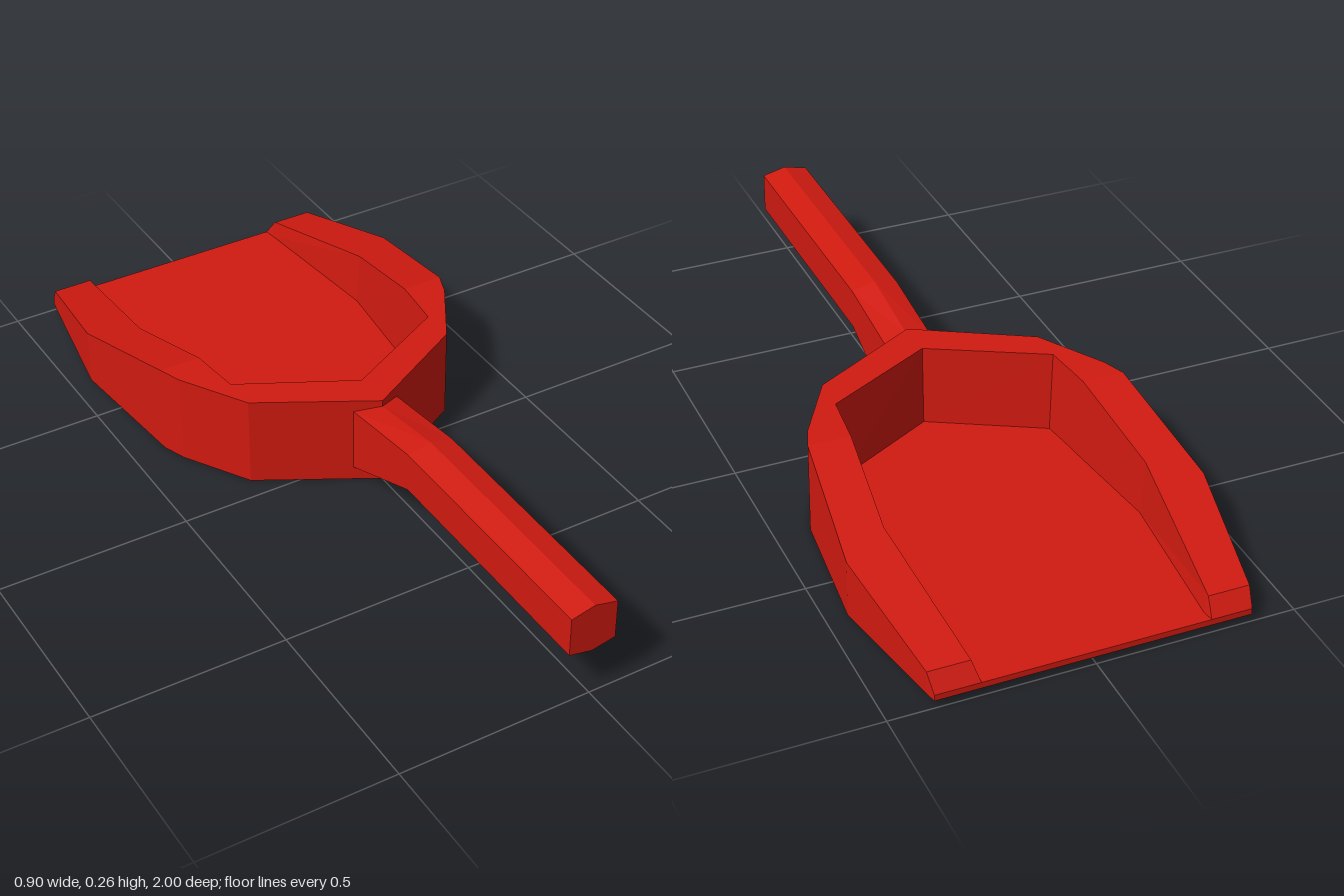
import * as THREE from 'three';

// Skin a list of equal-length rings (counter-clockwise seen from +z, running towards -z) and cap both ends.
function loft(rings) {
  const pos = [];
  const tri = (a, b, c) => pos.push(...a, ...b, ...c);
  const n = rings[0].length;
  for (let i = 0; i < rings.length - 1; i++) {
    const r = rings[i], s = rings[i + 1];
    for (let j = 0; j < n; j++) {
      const k = (j + 1) % n;
      tri(r[j], s[j], s[k]);
      tri(r[j], s[k], r[k]);
    }
  }
  const first = rings[0], last = rings[rings.length - 1];
  for (let j = 1; j < n - 1; j++) {
    tri(first[0], first[j], first[j + 1]);
    tri(last[0], last[j + 1], last[j]);
  }
  const geo = new THREE.BufferGeometry();
  geo.setAttribute('position', new THREE.Float32BufferAttribute(pos, 3));
  geo.computeVertexNormals();
  return geo;
}

// Heights as functions of z
const mix = (a, b, t) => a + (b - a) * t;
const along = (z, z0, z1) => THREE.MathUtils.clamp((z - z0) / (z1 - z0), 0, 1);
const rimY = z => z < -0.97 ? mix(0.08, 0.036, along(z, -0.97, -1)) : mix(0.242, 0.08, along(z, -0.29, -0.97));
const baseY = z => mix(0, 0.02, along(z, -0.29, -1));
const floorY = z => mix(0.03, 0.036, along(z, -0.29, -1));

export function createModel() {
  const group = new THREE.Group();
  const red = new THREE.MeshStandardMaterial({ color: 0xd01a10, flatShading: true });
  const add = (name, geo) => {
    const mesh = new THREE.Mesh(geo, red);
    mesh.name = name;
    group.add(mesh);
  };

  // Pan: outer x, outer z, inner x, inner z for half the outline, front point to open back edge
  const outline = [
    [0, 0.1, 0, 0],
    [0.287, -0.06, 0.287, -0.15],
    [0.388, -0.23, 0.296, -0.23],
    [0.41, -0.29, 0.302, -0.29],
    [0.45, -0.64, 0.332, -0.57],
    [0.395, -0.97, 0.29, -0.97],
    [0.389, -1, 0.286, -1],
  ];
  add('pan', loft(outline.map(([ox, oz, ix, iz], i) => {
    const fx = Math.max(ix - 0.008, 0);
    const fz = i < 2 ? iz - 0.01 : iz;
    const half = [
      [ox, baseY(oz), oz], [ox, rimY(oz), oz],   // outer wall
      [ix, rimY(iz), iz], [fx, floorY(fz), fz],  // rim and inner wall
    ];
    return [...half, ...half.map(([x, y, z]) => [-x, y, z]).reverse()];
  })));

  // Handle: six-sided bar, z at middle, z at sides, then the four heights
  const w = 0.062;
  const sections = [
    [1, 1, 0.127, 0.14, 0.245, 0.26],
    [0.32, 0.32, 0.127, 0.14, 0.245, 0.26],
    [0.1, 0.065, 0.015, 0.037, 0.21, 0.225],
  ];
  add('handle', loft(sections.map(([zm, zs, bottom, low, high, top]) => [
    [0, bottom, zm], [w, low, zs], [w, high, zs],
    [0, top, zm], [-w, high, zs], [-w, low, zs],
  ])));

  return group;
}
